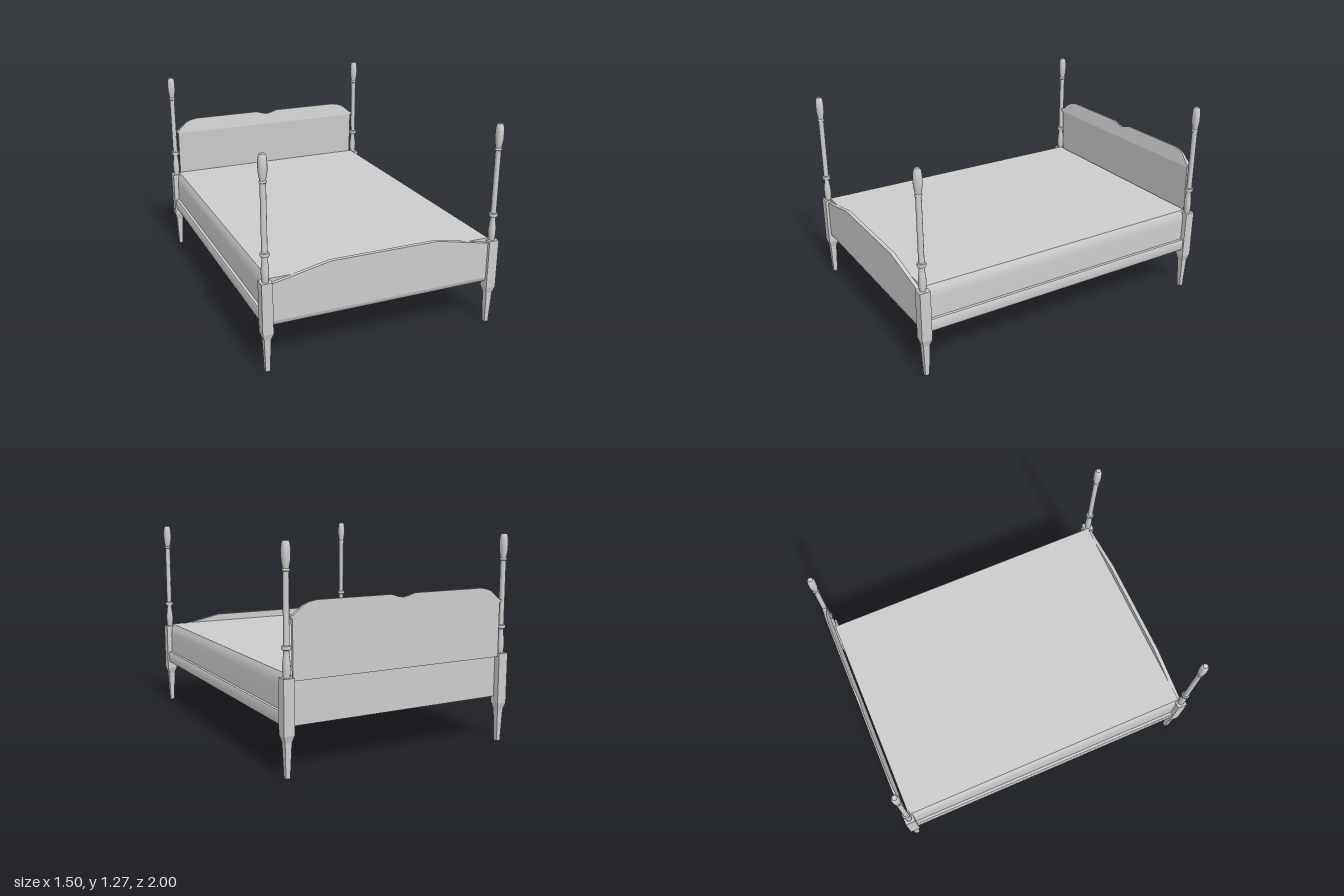
import * as THREE from 'three';
import { toCreasedNormals } from 'three/addons/utils/BufferGeometryUtils.js';

const smooth = new THREE.MeshStandardMaterial({ color: 0xcccccc });
const faceted = new THREE.MeshStandardMaterial({ color: 0xcccccc, flatShading: true });

function addMesh(parent, name, geometry, material = smooth) {
  const mesh = new THREE.Mesh(geometry, material);
  mesh.name = name;
  parent.add(mesh);
  return mesh;
}

const vectors = (points) => points.map(([x, y]) => new THREE.Vector2(x, y));

// Mirrors a right-hand half outline about x = 0 and extrudes it from z0 to z1.
function extrudeHalf(half, z0, z1) {
  const mirrored = half.filter(([x]) => x > 0).reverse().map(([x, y]) => [-x, y]);
  const shape = new THREE.Shape(vectors([...half, ...mirrored]));
  const geometry = new THREE.ExtrudeGeometry(shape, { depth: z1 - z0, bevelEnabled: false });
  return geometry.translate(0, 0, z0);
}

// Leans the front face: z runs from zLow at yLow to zHigh at yHigh.
function leanFront(geometry, zFront, yLow, zLow, yHigh, zHigh) {
  const p = geometry.attributes.position;
  for (let i = 0; i < p.count; i++) {
    if (Math.abs(p.getZ(i) - zFront) < 1e-4) {
      p.setZ(i, THREE.MathUtils.mapLinear(p.getY(i), yLow, yHigh, zLow, zHigh));
    }
  }
  geometry.computeVertexNormals();
  return geometry;
}

function createPost() {
  const post = new THREE.Group();

  // Square leg and block: half-width at each height
  const square = [[0, 0], [0.013, 0], [0.02, 0.2], [0.032, 0.24], [0.032, 0.55], [0, 0.55]];
  const leg = new THREE.LatheGeometry(vectors(square.map(([w, y]) => [w * Math.SQRT2, y])), 4);
  addMesh(post, 'squareLeg', leg.rotateY(Math.PI / 4), faceted);

  // Turned upper part with vase, collar, shaft and finial
  const turned = [
    [0.019, 0.55], [0.022, 0.58], [0.023, 0.615], [0.02, 0.65], [0.016, 0.68], [0.016, 0.697],
    [0.025, 0.7], [0.027, 0.71], [0.025, 0.72], [0.017, 0.723], [0.017, 1.11],
    [0.021, 1.113], [0.021, 1.12], [0.017, 1.125], [0.02, 1.14], [0.025, 1.17], [0.026, 1.2],
    [0.025, 1.235], [0.021, 1.258], [0.015, 1.268], [0, 1.27],
  ];
  addMesh(post, 'turnedShaft', toCreasedNormals(new THREE.LatheGeometry(vectors(turned), 16), 0.8));
  return post;
}

export function createModel() {
  const bed = new THREE.Group();
  bed.name = 'bed';

  // Corner posts
  for (const x of [-0.72, 0.72]) {
    for (const z of [-0.968, 0.968]) {
      const post = createPost();
      post.name = `${z > 0 ? 'front' : 'back'}${x > 0 ? 'Left' : 'Right'}Post`;
      post.position.set(x, 0, z);
      bed.add(post);
    }
  }

  // Mattress with softened upper edges
  const mattress = [[0.72, 0.28], [0.72, 0.49], [0.716, 0.53], [0.7, 0.56]];
  addMesh(bed, 'mattress', toCreasedNormals(extrudeHalf(mattress, -0.96, 0.96), 0.9));

  // Side rails, rounded underneath
  const railSection = new THREE.Shape(vectors([
    [0.7, 0.28], [0.73, 0.28], [0.739, 0.287], [0.743, 0.3], [0.743, 0.35], [0.738, 0.36], [0.7, 0.36],
  ]));
  for (const side of [1, -1]) {
    const rail = new THREE.ExtrudeGeometry(railSection, { depth: 1.9, bevelEnabled: false });
    rail.translate(0, 0, -0.95);
    if (side < 0) rail.rotateY(Math.PI);
    addMesh(bed, side > 0 ? 'leftRail' : 'rightRail', toCreasedNormals(rail, 0.9));
  }

  // Footboard with a raised centre and a tucked-under lower edge
  const footboard = [[0.695, 0.31], [0.695, 0.533], [0.34, 0.607]];
  addMesh(bed, 'footboard', extrudeHalf(footboard, 0.957, 0.982));
  const tuck = new THREE.Shape(vectors([
    [0.957, 0.28], [0.97, 0.28], [0.978, 0.29], [0.982, 0.31], [0.957, 0.31],
  ]));
  const lowerEdge = new THREE.ExtrudeGeometry(tuck, { depth: 1.39, bevelEnabled: false });
  lowerEdge.rotateY(-Math.PI / 2).translate(0.695, 0, 0);
  addMesh(bed, 'footboardLowerEdge', toCreasedNormals(lowerEdge, 0.9));

  // Headboard panel, leaning forward towards the ledge
  const panel = [[0.69, 0.53], [0.69, 0.87]];
  addMesh(bed, 'headboardPanel',
    leanFront(extrudeHalf(panel, -0.984, -0.96), -0.96, 0.53, -0.972, 0.87, -0.96));

  // Scalloped crest, sloping back to the top
  const crest = [
    [0.69, 0.86], [0.702, 0.866], [0.702, 0.876], [0.685, 0.88], [0.625, 0.932],
    [0.59, 0.946], [0.545, 0.954], [0.08, 0.954], [0.035, 0.94], [0, 0.934],
  ];
  addMesh(bed, 'headboardCrest',
    leanFront(extrudeHalf(crest, -0.984, -0.955), -0.955, 0.86, -0.955, 0.954, -0.975));

  return bed;
}
